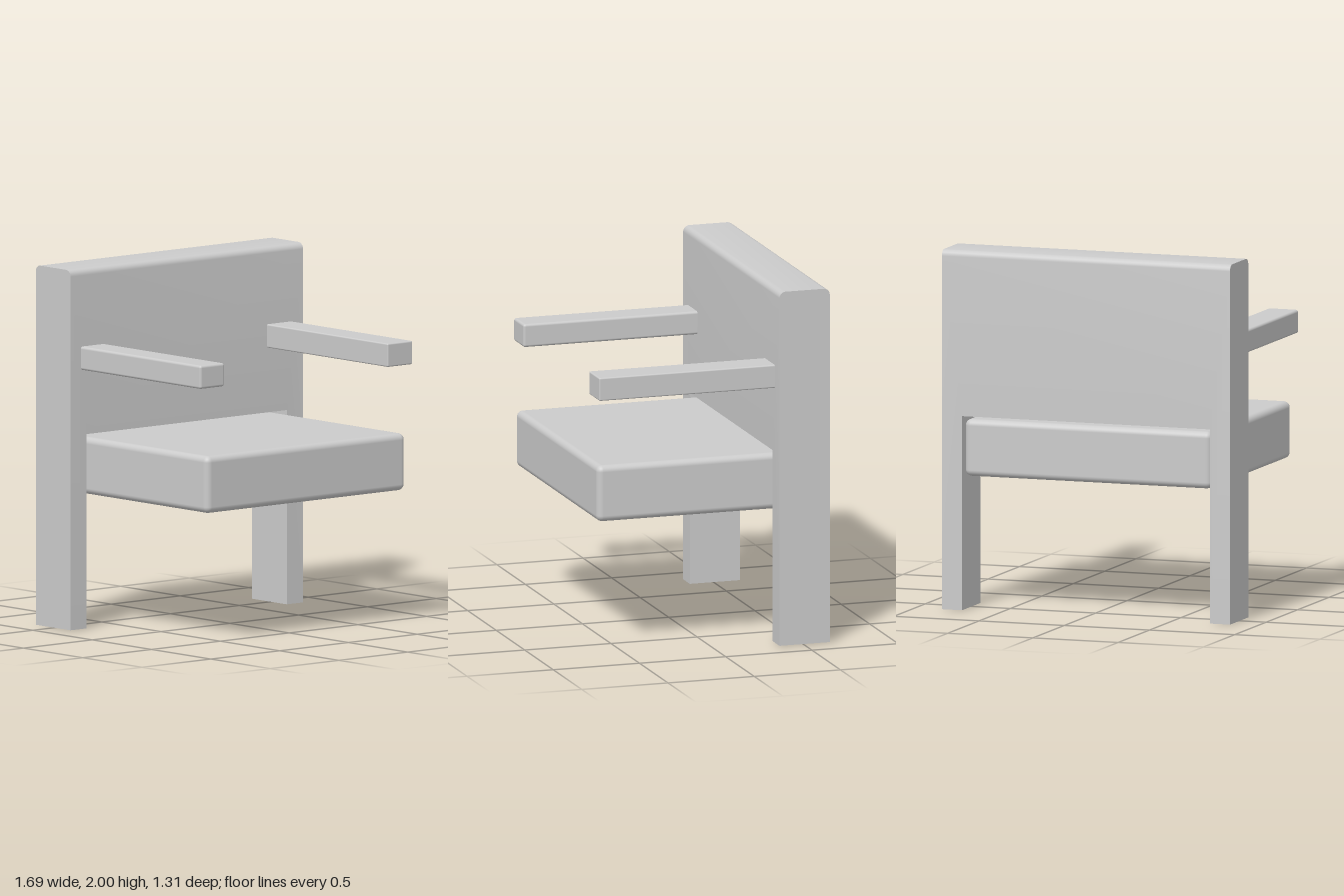
import * as THREE from 'three';
import { toCreasedNormals } from 'three/addons/utils/BufferGeometryUtils.js';
import { RoundedBoxGeometry } from 'three/addons/geometries/RoundedBoxGeometry.js';

const material = new THREE.MeshStandardMaterial({ color: 0xcccccc });

// Softened block given by its limits on each axis
function block(name, [x0, x1], [y0, y1], [z0, z1], radius) {
  const geometry = new RoundedBoxGeometry(x1 - x0, y1 - y0, z1 - z0, 4, radius);
  const mesh = new THREE.Mesh(geometry, material);
  mesh.position.set((x0 + x1) / 2, (y0 + y1) / 2, (z0 + z1) / 2);
  mesh.name = name;
  return mesh;
}

// Back panel and its two legs in one piece, with the top edges rounded
function backFrame() {
  const w = 0.845, inner = 0.727, top = 2, gapTop = 1.08;
  const back = -0.655, front = -0.363, radius = 0.035, arc = 5;

  const outline = new THREE.Shape([
    [-w, 0], [-inner, 0], [-inner, gapTop], [inner, gapTop],
    [inner, 0], [w, 0], [w, top], [-w, top],
  ].map(([x, y]) => new THREE.Vector2(x, y)));

  // Each extrusion step gets a depth and a drop of the top edge
  const rows = [];
  for (let i = 0; i <= arc; i++) {
    const a = (i / arc) * Math.PI / 2;
    rows.push([back + radius * (1 - Math.sin(a)), radius * (1 - Math.cos(a))]);
  }
  rows.reverse();
  rows.forEach((r, i) => { r[0] = back + radius * (1 - Math.cos(i / arc * Math.PI / 2)); });
  const mirrored = rows.map(([z, drop]) => [back + front - z, drop]).reverse();
  rows.push(...mirrored);

  const steps = rows.length - 1;
  const geometry = new THREE.ExtrudeGeometry(outline, { depth: steps, steps, bevelEnabled: false });
  const p = geometry.attributes.position;
  for (let i = 0; i < p.count; i++) {
    const [z, drop] = rows[Math.round(p.getZ(i))];
    if (p.getY(i) > top - 0.001) p.setY(i, top - drop);
    p.setZ(i, z);
  }
  const mesh = new THREE.Mesh(toCreasedNormals(geometry, 0.6), material);
  mesh.name = 'backFrame';
  return mesh;
}

export function createModel() {
  const group = new THREE.Group();
  group.name = 'armchair';
  group.add(
    backFrame(),
    // Thick cushion passing through the opening between the legs
    block('seat', [-0.725, 0.722], [0.743, 1.06], [-0.635, 0.65], 0.035),
    // Armrests reaching forward from the back panel
    block('leftArmrest', [0.583, 0.765], [1.44, 1.57], [-0.42, 0.655], 0.008),
    block('rightArmrest', [-0.77, -0.592], [1.44, 1.57], [-0.42, 0.645], 0.014),
  );
  return group;
}
